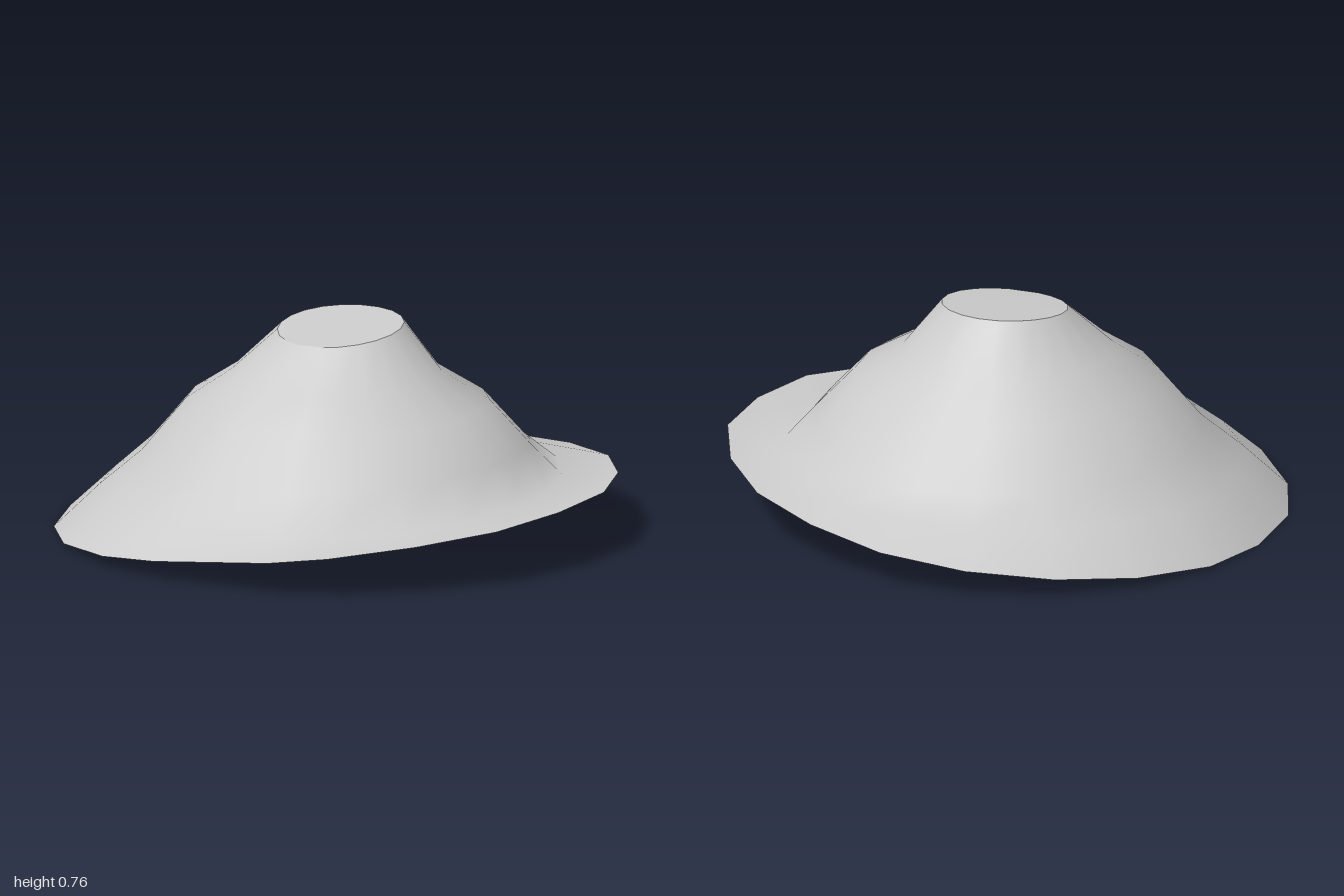
import * as THREE from 'three';

const SIDES = 20;

// Crown rings from top to bottom: radius and height at right (+x), back, left (-x) and front
const RINGS = [
  { r: [0.22, 0.22, 0.23, 0.23], y: [0.765, 0.745, 0.715, 0.745] },
  { r: [0.355, 0.38, 0.39, 0.37], y: [0.58, 0.58, 0.58, 0.58] },
  { r: [0.52, 0.54, 0.55, 0.54], y: [0.47, 0.475, 0.475, 0.48] },
  { r: [0.68, 0.7, 0.7, 0.68], y: [0.28, 0.285, 0.29, 0.33] },
  { r: [0.81, 0.83, 0.87, 0.79], y: [0.2, 0.165, 0.165, 0.2] },
];

// Slightly uneven outline of the brim, seen from above (x, z)
const RIM = [
  [1, 0], [0.95, -0.31], [0.8, -0.59], [0.58, -0.81], [0.3, -0.96],
  [0, -1], [-0.32, -0.96], [-0.6, -0.82], [-0.83, -0.6], [-0.97, -0.32],
  [-1, -0.07], [-0.94, 0.39], [-0.84, 0.58], [-0.61, 0.8], [-0.34, 0.955],
  [-0.03, 0.995], [0.28, 0.96], [0.56, 0.81], [0.79, 0.59], [0.93, 0.31],
];

// Smooth value around the ring passing through its four cardinal values
function around([right, back, left, front], a) {
  return (right + back + left + front) / 4
    + (right - left) / 2 * Math.cos(a)
    + (back - front) / 2 * Math.sin(a)
    + (right + left - back - front) / 4 * Math.cos(2 * a);
}

function ringPoints({ r, y }) {
  return RIM.map(([rx, rz]) => {
    const a = Math.atan2(-rz, rx);
    const radius = around(r, a);
    return [radius * Math.cos(a), around(y, a), -radius * Math.sin(a)];
  });
}

function makeMesh(name, points, index, material) {
  const geometry = new THREE.BufferGeometry();
  geometry.setAttribute('position', new THREE.Float32BufferAttribute(points.flat(), 3));
  geometry.setIndex(index);
  geometry.computeVertexNormals();
  const mesh = new THREE.Mesh(geometry, material);
  mesh.name = name;
  return mesh;
}

export function createModel() {
  const group = new THREE.Group();
  group.name = 'hat';
  const material = new THREE.MeshStandardMaterial({ color: 0xcccccc, side: THREE.DoubleSide });

  // Open shell: crown rings running out to the tilted brim edge
  const rings = RINGS.map(ringPoints);
  rings.push(RIM.map(([x, z]) => [x, Math.max(0, 0.11 + 0.03 * x + 0.11 * z), z]));
  const shellIndex = [];
  for (let k = 0; k < rings.length - 1; k++) {
    for (let i = 0; i < SIDES; i++) {
      const j = (i + 1) % SIDES;
      const a = k * SIDES + i, b = k * SIDES + j;
      shellIndex.push(a, a + SIDES, b, a + SIDES, b + SIDES, b);
    }
  }
  group.add(makeMesh('crownAndBrim', rings.flat(), shellIndex, material));

  // Flat tilted top closing the crown
  const capIndex = [];
  for (let i = 0; i < SIDES; i++) capIndex.push(SIDES, i, (i + 1) % SIDES);
  group.add(makeMesh('crownTop', [...rings[0], [0, 0.742, 0]], capIndex, material));

  return group;
}
